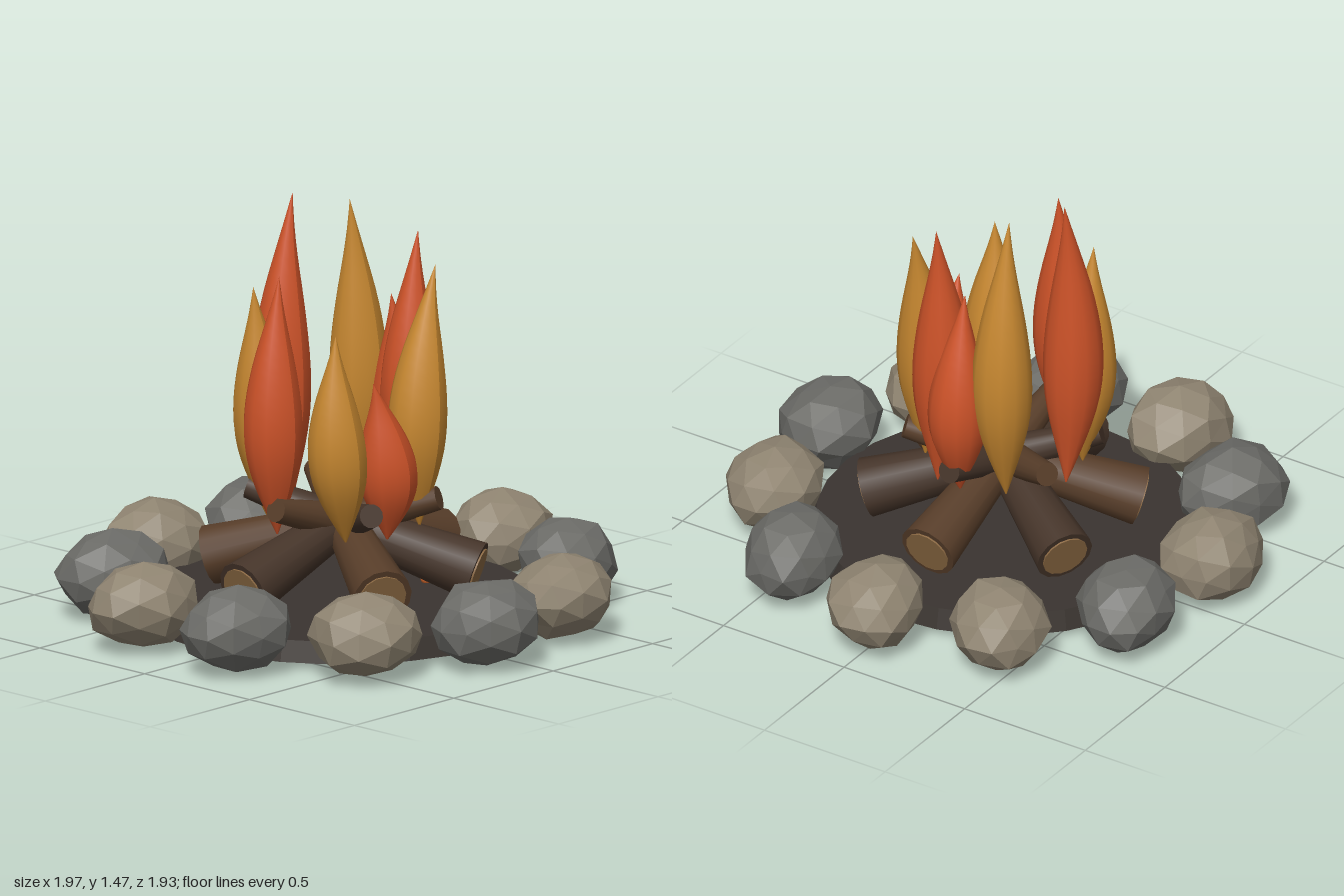
import * as THREE from 'three';

const mat = (color, flatShading = false) => new THREE.MeshStandardMaterial({ color, flatShading, roughness: 0.9 });

function add(parent, name, geometry, material) {
  const mesh = new THREE.Mesh(geometry, material);
  mesh.name = name;
  parent.add(mesh);
  return mesh;
}

// Repeatable value in 0..1 from a position, so shared corners move together
function hash(x, y, z, seed) {
  const q = (v) => Math.round(v * 100);
  const s = Math.sin(q(x) * 12.9898 + q(y) * 78.233 + q(z) * 37.719 + seed * 4.137) * 43758.5453;
  return s - Math.floor(s);
}

// Faceted rock: a roughened icosphere stretched to a boulder
function stoneGeometry(seed) {
  const geo = new THREE.IcosahedronGeometry(1, 1);
  const p = geo.attributes.position;
  for (let i = 0; i < p.count; i++) {
    const x = p.getX(i), y = p.getY(i), z = p.getZ(i);
    const k = 0.93 + 0.14 * hash(x, y, z, seed);
    p.setXYZ(i, x * k * 0.205, y * k * 0.15, z * k * 0.17);
  }
  geo.computeVertexNormals();
  return geo;
}

// Teardrop flame whose centre line passes through base, belly and tip
const FLAME_PROFILE = [0.03, 0.38, 0.7, 0.92, 1, 0.96, 0.83, 0.64, 0.41, 0.19, 0];
function flameGeometry(base, belly, tip, height) {
  const points = FLAME_PROFILE.map((r, i) => new THREE.Vector2(r * 0.105, i / 10));
  const geo = new THREE.LatheGeometry(new THREE.SplineCurve(points).getPoints(20)
    .map((v) => new THREE.Vector2(Math.max(0, v.x), v.y)), 12);
  const p = geo.attributes.position;
  for (let i = 0; i < p.count; i++) {
    const t = p.getY(i);
    const centre = base * (t - 0.4) * (t - 1) / 0.4 - belly * t * (t - 1) / 0.24 + tip * t * (t - 0.4) / 0.6;
    p.setXYZ(i, p.getX(i) + centre, t * height, p.getZ(i));
  }
  geo.computeVertexNormals();
  return geo;
}

export function createModel() {
  const root = new THREE.Group();
  root.name = 'campfire';

  // Ash bed
  const ash = add(root, 'ashBed', new THREE.CylinderGeometry(0.66, 0.68, 0.075, 28), mat(0x3a3430, true));
  ash.position.set(-0.015, 0.06, 0);

  // Ring of stones in two alternating tones
  const stones = new THREE.Group();
  stones.name = 'stoneRing';
  root.add(stones);
  const stoneMats = [mat(0x8f8471, true), mat(0x6c6c68, true)];
  const turns = [22, 25, 15, -5, -18, -15, -15, -20, 0, 18, 25];
  turns.forEach((turn, i) => {
    const a = (i / turns.length) * Math.PI * 2;
    const stone = add(stones, 'stone', stoneGeometry(i), stoneMats[i % 2]);
    stone.position.set(0.8 * Math.cos(a), 0.157, 0.8 * Math.sin(a));
    stone.rotation.y = THREE.MathUtils.degToRad(turn);
  });

  // Six tapered logs, thick ends low and outside, thin ends crossing the middle
  const logs = new THREE.Group();
  logs.name = 'logs';
  root.add(logs);
  const barkMats = [mat(0x573d29), mat(0x453429)];
  const woodMat = mat(0x8a6842);
  for (let i = 0; i < 6; i++) {
    const a = (i / 6) * Math.PI * 2;
    const outer = i === 3 ? 0.505 : 0.475;
    const start = new THREE.Vector3(outer * Math.cos(a), 0.2, outer * Math.sin(a));
    const end = new THREE.Vector3(-0.34 * Math.cos(a), 0.455, -0.34 * Math.sin(a));
    const axis = end.clone().sub(start);
    const length = axis.length();
    const log = new THREE.Group();
    log.name = 'log';
    log.position.copy(start).add(end).multiplyScalar(0.5);
    log.quaternion.setFromUnitVectors(new THREE.Vector3(0, 1, 0), axis.normalize());
    add(log, 'bark', new THREE.CylinderGeometry(0.042, 0.105, length, 14), barkMats[i % 2]);
    const cut = add(log, 'cutEnd', new THREE.CylinderGeometry(0.084, 0.084, 0.012, 14), woodMat);
    cut.position.y = -length / 2;
    logs.add(log);
  }

  // Flames: base x, belly x, tip x, z, tip height, tone
  const flames = new THREE.Group();
  flames.name = 'flames';
  root.add(flames);
  const flameMats = [mat(0xcc5228), mat(0xc68730)];
  [
    [-0.28, -0.3, -0.27, -0.05, 1.27, 0],
    [-0.12, -0.14, -0.19, -0.25, 1.18, 1],
    [0.03, -0.015, 0.04, -0.28, 1.47, 0],
    [0.21, 0.235, 0.19, -0.15, 1.44, 1],
    [0.27, 0.285, 0.24, 0, 1.12, 0],
    [0.26, 0.23, 0.27, 0.1, 1.36, 0],
    [0.14, 0.13, 0.22, 0.23, 1.27, 1],
    [-0.07, -0.065, -0.14, 0.275, 0.92, 0],
    [-0.2, -0.24, -0.25, 0.2, 1.1, 1],
  ].forEach(([base, belly, tip, z, top, tone]) => {
    const flame = add(flames, 'flame', flameGeometry(base, belly, tip, top - 0.35), flameMats[tone]);
    flame.position.set(0, 0.35, z);
  });

  // Glowing embers on the ash
  for (const [x, z] of [[-0.32, -0.18], [0.29, 0.12]]) {
    add(root, 'ember', new THREE.IcosahedronGeometry(0.02, 1), mat(0xd0662c)).position.set(x, 0.11, z);
  }
  return root;
}
